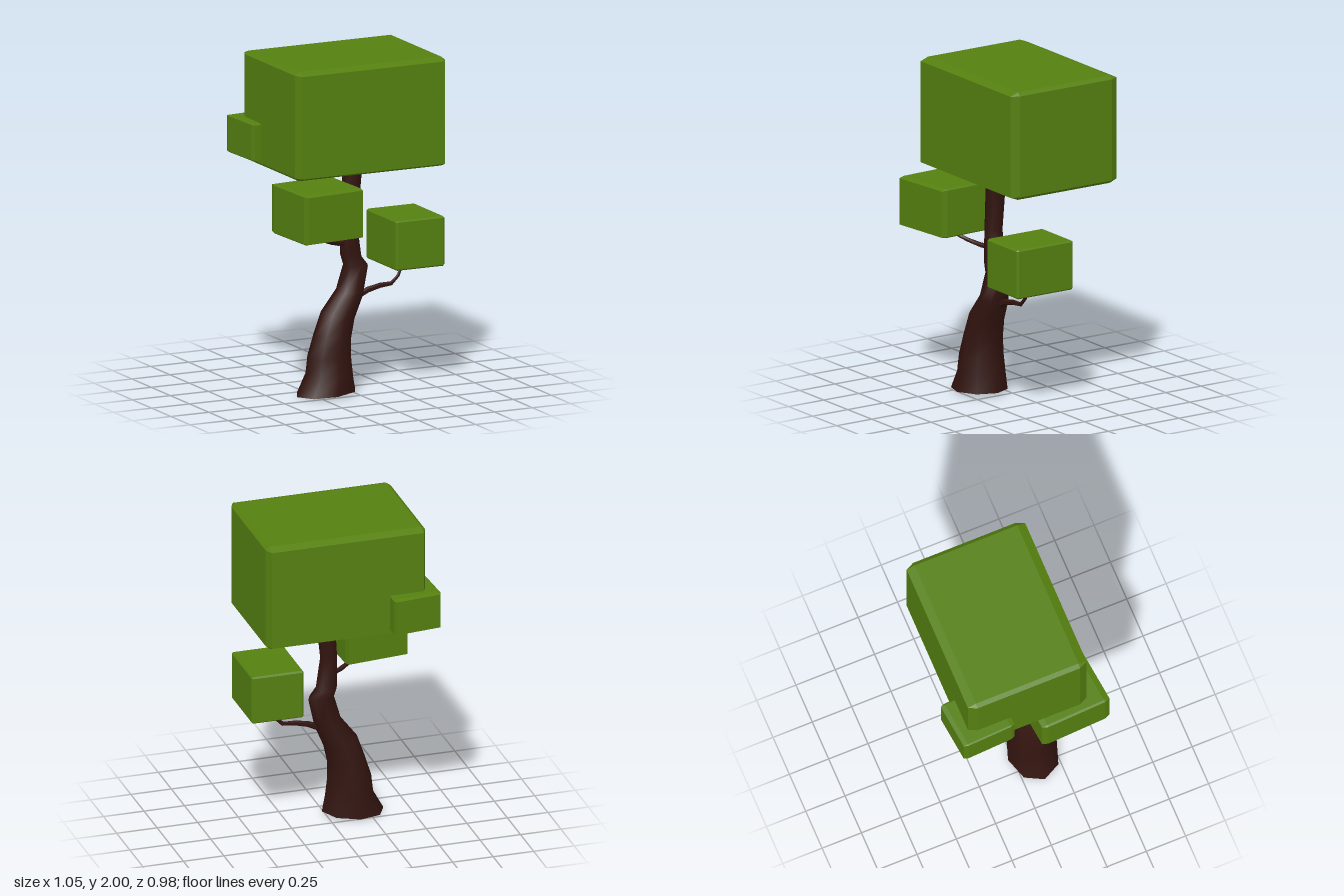
import * as THREE from 'three';
import { toCreasedNormals } from 'three/addons/utils/BufferGeometryUtils.js';
import { ConvexGeometry } from 'three/addons/geometries/ConvexGeometry.js';

const V = (x, y, z) => new THREE.Vector3(x, y, z);

// Skin between rings {c, u, v}: centre and two half axes, with closed ends
function loft(rings, sides) {
  const pos = [], index = [];
  for (const { c, u, v } of rings) {
    for (let j = 0; j < sides; j++) {
      const a = (j / sides) * Math.PI * 2;
      pos.push(...c.clone().addScaledVector(u, Math.cos(a)).addScaledVector(v, Math.sin(a)).toArray());
    }
  }
  const last = (rings.length - 1) * sides;
  for (let i = 0; i < last; i += sides) {
    for (let j = 0; j < sides; j++) {
      const k = (j + 1) % sides;
      index.push(i + j, i + sides + j, i + k, i + k, i + sides + j, i + sides + k);
    }
  }
  for (let j = 1; j < sides - 1; j++) {
    index.push(0, j, j + 1, last, last + j + 1, last + j);
  }
  const geo = new THREE.BufferGeometry();
  geo.setAttribute('position', new THREE.Float32BufferAttribute(pos, 3));
  geo.setIndex(index);
  return toCreasedNormals(geo, 1.0);
}

// Tapered twig through a few points
function twig(points, r0, r1) {
  const n = points.length - 1;
  const rings = points.map((c, i) => {
    const t = points[Math.min(i + 1, n)].clone().sub(points[Math.max(i - 1, 0)]).normalize();
    const ref = Math.abs(t.z) > 0.8 ? V(1, 0, 0) : V(0, 0, 1);
    const v = ref.addScaledVector(t, -ref.dot(t)).normalize();
    const u = t.clone().cross(v);
    const r = THREE.MathUtils.lerp(r0, r1, i / n);
    return { c, u: u.multiplyScalar(r), v: v.multiplyScalar(r) };
  });
  return loft(rings, 6);
}

// Chamfered block with half axes u (x), h (y), w (z) and relative chamfers
function leafBlock(u, h, w, [bx, by, bz]) {
  const pts = [];
  for (const x of [-1, 1]) for (const y of [-1, 1]) for (const z of [-1, 1]) {
    const X = x * (1 - bx), Y = y * (1 - by), Z = z * (1 - bz);
    for (const [a, b, c] of [[x, Y, Z], [X, y, Z], [X, Y, z]]) {
      pts.push(V(0, b * h, 0).addScaledVector(u, a).addScaledVector(w, c));
    }
  }
  return new ConvexGeometry(pts);
}

export function createModel() {
  const group = new THREE.Group();
  const bark = new THREE.MeshStandardMaterial({ color: 0x32140f });
  const leaves = new THREE.MeshStandardMaterial({ color: 0x558010, flatShading: true });
  const add = (name, geo, mat) => {
    const mesh = new THREE.Mesh(geo, mat);
    mesh.name = name;
    group.add(mesh);
    return mesh;
  };

  // Leaning trunk: left x, left y, right x, right y, half depth
  const trunk = [
    [-0.355, 0.0, 0.025, 0.025, 0.155],
    [-0.292, 0.115, 0.005, 0.13, 0.142],
    [-0.28, 0.22, -0.007, 0.23, 0.132],
    [-0.24, 0.35, -0.008, 0.34, 0.118],
    [-0.19, 0.49, 0.015, 0.45, 0.106],
    [-0.09, 0.62, 0.07, 0.58, 0.088],
    [-0.05, 0.76, 0.108, 0.755, 0.072],
    [-0.07, 0.83, 0.065, 0.81, 0.066],
    [-0.07, 1.0, 0.035, 1.02, 0.055],
    [-0.055, 1.27, 0.06, 1.25, 0.059],
    [-0.05, 1.39, 0.072, 1.38, 0.06],
  ].map(([lx, ly, rx, ry, d]) => ({
    c: V((lx + rx) / 2, (ly + ry) / 2, 0.123),
    u: V((rx - lx) / 2, (ry - ly) / 2, 0),
    v: V(0, 0, d),
  }));
  add('trunk', loft(trunk, 8), bark);

  // Twigs reaching to the leaf blocks
  add('leftBranch', twig([V(0.03, 0.565, 0.123), V(0.11, 0.6, 0.123), V(0.19, 0.618, 0.123),
    V(0.265, 0.623, 0.123), V(0.31, 0.665, 0.123), V(0.35, 0.76, 0.123)], 0.021, 0.008), bark);
  add('rightBranch', twig([V(-0.02, 0.9, 0.125), V(-0.1, 0.908, 0.16), V(-0.17, 0.928, 0.2),
    V(-0.23, 0.95, 0.23), V(-0.265, 1.01, 0.25)], 0.018, 0.009), bark);
  add('backBranch', twig([V(0.01, 1.28, 0.1), V(0, 1.315, 0.04), V(-0.01, 1.33, 0),
    V(-0.025, 1.326, -0.08), V(-0.04, 1.34, -0.13), V(-0.06, 1.38, -0.17)], 0.017, 0.009), bark);

  // Leaf blocks: name, centre, half axes, chamfers
  const blocks = [
    ['canopy', V(0.0325, 1.672, -0.0225), V(0.4925, 0, 0), 0.328, V(0, 0, 0.3775), [0.05, 0.06, 0.135]],
    ['rightLeafBlock', V(-0.285, 1.14, 0.25), V(0.2, 0, -0.022), 0.15, V(0.01, 0, 0.218), [0.06, 0.06, 0.16]],
    ['backLeafBlock', V(-0.372, 1.4925, -0.311), V(0.149, 0, -0.016), 0.1125, V(0.008, 0, 0.165), [0.06, 0.06, 0.16]],
    ['leftLeafBlock', V(0.36, 0.89, 0.12), V(0.16, 0, 0), 0.15, V(0, 0, 0.2), [0.06, 0.06, 0.06]],
  ];
  for (const [name, c, u, h, w, bevel] of blocks) {
    add(name, leafBlock(u, h, w, bevel), leaves).position.copy(c);
  }
  return group;
}
